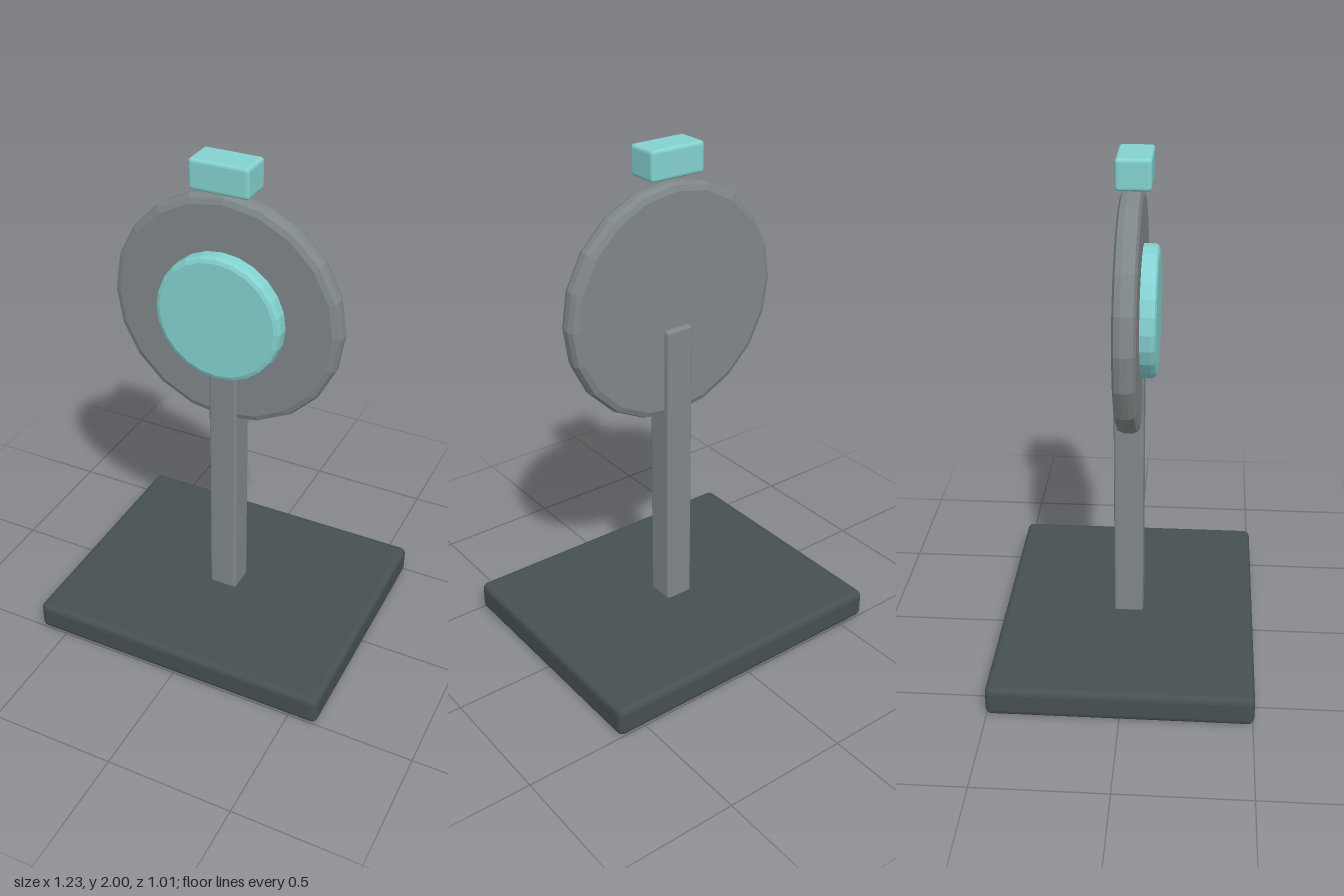
import * as THREE from 'three';
import { RoundedBoxGeometry } from 'three/addons/geometries/RoundedBoxGeometry.js';

const material = (name, color, flatShading = false) => {
  const m = new THREE.MeshStandardMaterial({ color, flatShading });
  m.name = name;
  return m;
};

export function createModel() {
  const group = new THREE.Group();
  const darkSlate = material('dark slate', 0x465053, true);
  const grey = material('grey', 0x808789, true);
  const teal = material('teal', 0x84d2d1, true);

  const add = (name, geometry, mat, x, y, z) => {
    const mesh = new THREE.Mesh(geometry, mat);
    mesh.name = name;
    mesh.position.set(x, y, z);
    group.add(mesh);
  };

  // Box with bevelled edges, placed by its y and z ranges
  const block = (name, mat, width, y0, y1, z0, z1, bevel) =>
    add(name, new RoundedBoxGeometry(width, y1 - y0, z1 - z0, 2, bevel), mat, 0, (y0 + y1) / 2, (z0 + z1) / 2);

  // Upright disc facing +z with a rounded rim
  const disc = (name, mat, radius, y, z0, z1, bevel, sides) => {
    const h = z1 - z0;
    const profile = [new THREE.Vector2(0, 0)];
    for (const [end, start] of [[bevel, -Math.PI / 2], [h - bevel, 0]]) {
      for (let i = 0; i <= 2; i++) {
        const a = start + (i * Math.PI) / 4;
        profile.push(new THREE.Vector2(radius - bevel + bevel * Math.cos(a), end + bevel * Math.sin(a)));
      }
    }
    profile.push(new THREE.Vector2(0, h));
    const geometry = new THREE.LatheGeometry(profile, sides).rotateX(Math.PI / 2);
    add(name, geometry, mat, 0, y, z0);
  };

  // Foot and stem
  block('base', darkSlate, 1.23, 0, 0.12, -0.505, 0.505, 0.025);
  block('post', grey, 0.116, 0.09, 1.315, -0.058, 0.058, 0.012);

  // Round head with raised centre
  disc('headDisc', grey, 0.46, 1.405, -0.035, 0.05, 0.03, 20);
  disc('centreDisc', teal, 0.25, 1.405, 0.03, 0.11, 0.02, 24);

  // Small block above the head
  block('topBlock', teal, 0.232, 1.885, 2, -0.045, 0.085, 0.013);

  return group;
}
